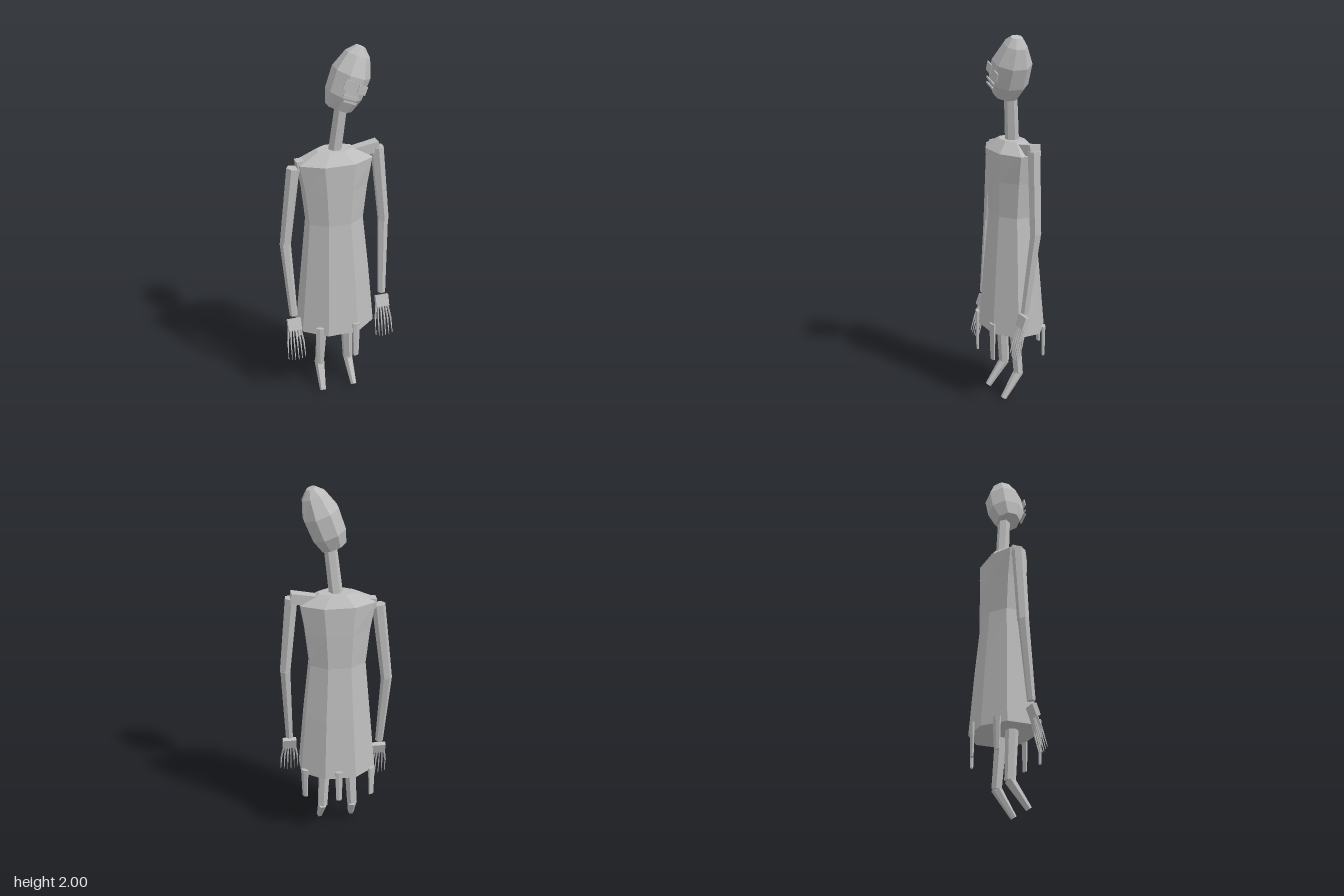
import * as THREE from 'three';

const clay = new THREE.MeshStandardMaterial({ color: 0xbcbcbc });
clay.name = 'grey';

// Splits every face so the low-poly facets stay sharp
function facet(geometry) {
  const flat = geometry.index ? geometry.toNonIndexed() : geometry;
  flat.computeVertexNormals();
  return flat;
}

function add(parent, name, geometry) {
  const mesh = new THREE.Mesh(facet(geometry), clay);
  mesh.name = name;
  parent.add(mesh);
  return mesh;
}

// Closed skin over elliptical rings [y, rx, rz, cx, cz]
function loft(rings, sides = 8) {
  const pos = [];
  const idx = [];
  for (const [y, rx, rz, cx = 0, cz = 0] of rings) {
    for (let i = 0; i < sides; i++) {
      const a = ((i + 0.5) / sides) * Math.PI * 2;
      pos.push(cx + rx * Math.cos(a), y, cz + rz * Math.sin(a));
    }
  }
  for (let r = 0; r < rings.length - 1; r++) {
    for (let i = 0; i < sides; i++) {
      const j = (i + 1) % sides;
      const a = r * sides + i, b = r * sides + j;
      idx.push(a, a + sides, b, b, a + sides, b + sides);
    }
  }
  const top = (rings.length - 1) * sides;
  for (let i = 1; i < sides - 1; i++) {
    idx.push(0, i, i + 1, top, top + i + 1, top + i);
  }
  const g = new THREE.BufferGeometry();
  g.setAttribute('position', new THREE.Float32BufferAttribute(pos, 3));
  g.setIndex(idx);
  return g;
}

// Tapered prism between two points
function limb(parent, name, from, to, r0, r1, sides = 6) {
  const a = new THREE.Vector3(...from);
  const b = new THREE.Vector3(...to);
  const dir = b.clone().sub(a);
  const g = new THREE.CylinderGeometry(r1, r0, dir.length(), sides);
  g.rotateY(Math.PI / sides);
  const mesh = add(parent, name, g);
  mesh.position.copy(a).add(b).multiplyScalar(0.5);
  mesh.quaternion.setFromUnitVectors(new THREE.Vector3(0, 1, 0), dir.normalize());
  return mesh;
}

function hand(parent, name, x, y, z) {
  const group = new THREE.Group();
  group.name = name;
  group.position.set(x, y, z);
  const palm = add(group, 'palm', new THREE.BoxGeometry(0.075, 0.065, 0.025));
  palm.rotation.x = -0.35;
  // Six thin bent claws fanned below the palm
  for (let i = 0; i < 6; i++) {
    const t = i / 5 - 0.5;
    const drop = 0.03 * Math.abs(t);
    limb(group, 'finger', [t * 0.065, -0.025, 0], [t * 0.09, -0.1, 0.025], 0.006, 0.005, 4);
    limb(group, 'claw', [t * 0.09, -0.1, 0.025], [t * 0.097, -0.205 + drop, 0.05], 0.005, 0.002, 4);
  }
  parent.add(group);
}

export function createModel() {
  const model = new THREE.Group();
  model.name = 'figure';

  // Long gown with flared hem and sloping shoulders
  add(model, 'gown', loft([
    [0.415, 0.222, 0.17, 0, 0.005],
    [0.76, 0.19, 0.142, 0, 0.005],
    [1.06, 0.16, 0.113, -0.003, 0.005],
    [1.25, 0.183, 0.115, -0.003, 0.005],
    [1.4, 0.212, 0.115, -0.004, 0.007],
    [1.455, 0.1, 0.062, 0, 0],
  ]));

  // Hanging tatters round the hem: x, z, top, bottom
  const tatters = [
    [0.01, -0.16, 0.46, 0.28], [0.19, -0.09, 0.45, 0.28], [-0.18, -0.105, 0.44, 0.27],
    [-0.13, 0.15, 0.47, 0.24], [0.075, 0.16, 0.47, 0.26],
  ];
  for (const [x, z, top, bottom] of tatters) {
    const g = new THREE.CylinderGeometry(0.024, 0.017, top - bottom, 6);
    g.scale(1, 1, 0.45);
    const mesh = add(model, 'tatter', g);
    mesh.position.set(x, (top + bottom) / 2, z);
    mesh.rotation.y = Math.atan2(x * 0.4, z);
  }

  // Neck and head, rolled to one side
  limb(model, 'neck', [0, 1.42, 0], [0.03, 1.71, 0.025], 0.037, 0.034);
  const head = new THREE.Group();
  head.name = 'head';
  head.position.set(0.008, 1.69, 0.04);
  head.rotation.z = -0.36;
  add(head, 'skull', loft([
    [0, 0.07, 0.068],
    [0.075, 0.095, 0.105],
    [0.19, 0.1, 0.105],
    [0.285, 0.066, 0.06],
    [0.325, 0.025, 0.032],
  ]));
  model.add(head);

  // Flat face plates: x, y, width, height
  const plates = [
    ['eye', 0.026, 1.84, 0.045, 0.05], ['eye', 0.097, 1.805, 0.045, 0.045],
    ['upperLip', 0.04, 1.775, 0.085, 0.01], ['lowerLip', 0.032, 1.75, 0.07, 0.01],
  ];
  for (const [name, x, y, w, h] of plates) {
    const plate = add(model, name, new THREE.BoxGeometry(w, h, 0.006));
    plate.position.set(x, y, 0.145);
    plate.rotation.z = -0.36;
  }

  // Arms, left side held slightly higher
  limb(model, 'leftShoulder', [0.1, 1.42, -0.005], [0.24, 1.44, -0.005], 0.035, 0.042, 4);
  limb(model, 'leftUpperArm', [0.235, 1.435, 0], [0.275, 1.01, 0.012], 0.036, 0.031);
  limb(model, 'leftForearm', [0.274, 1.02, 0.008], [0.256, 0.58, 0.062], 0.03, 0.022);
  hand(model, 'leftHand', 0.255, 0.53, 0.075);
  limb(model, 'rightShoulder', [-0.1, 1.4, 0], [-0.205, 1.385, 0], 0.03, 0.04, 4);
  limb(model, 'rightUpperArm', [-0.222, 1.375, 0], [-0.273, 0.94, 0], 0.036, 0.031);
  limb(model, 'rightForearm', [-0.274, 0.95, 0], [-0.25, 0.52, 0.05], 0.03, 0.022);
  hand(model, 'rightHand', -0.25, 0.465, 0.06);

  // Thin legs with bent shins
  for (const [side, hip, knee, foot] of [['left', 0.06, 0.08, 0.085], ['right', -0.075, -0.09, -0.1]]) {
    limb(model, side + 'Thigh', [hip, 0.5, 0.025], [knee, 0.15, 0.004], 0.035, 0.029);
    limb(model, side + 'Shin', [knee, 0.155, 0.0], [foot, 0.015, 0.1], 0.028, 0.017);
  }
  return model;
}
